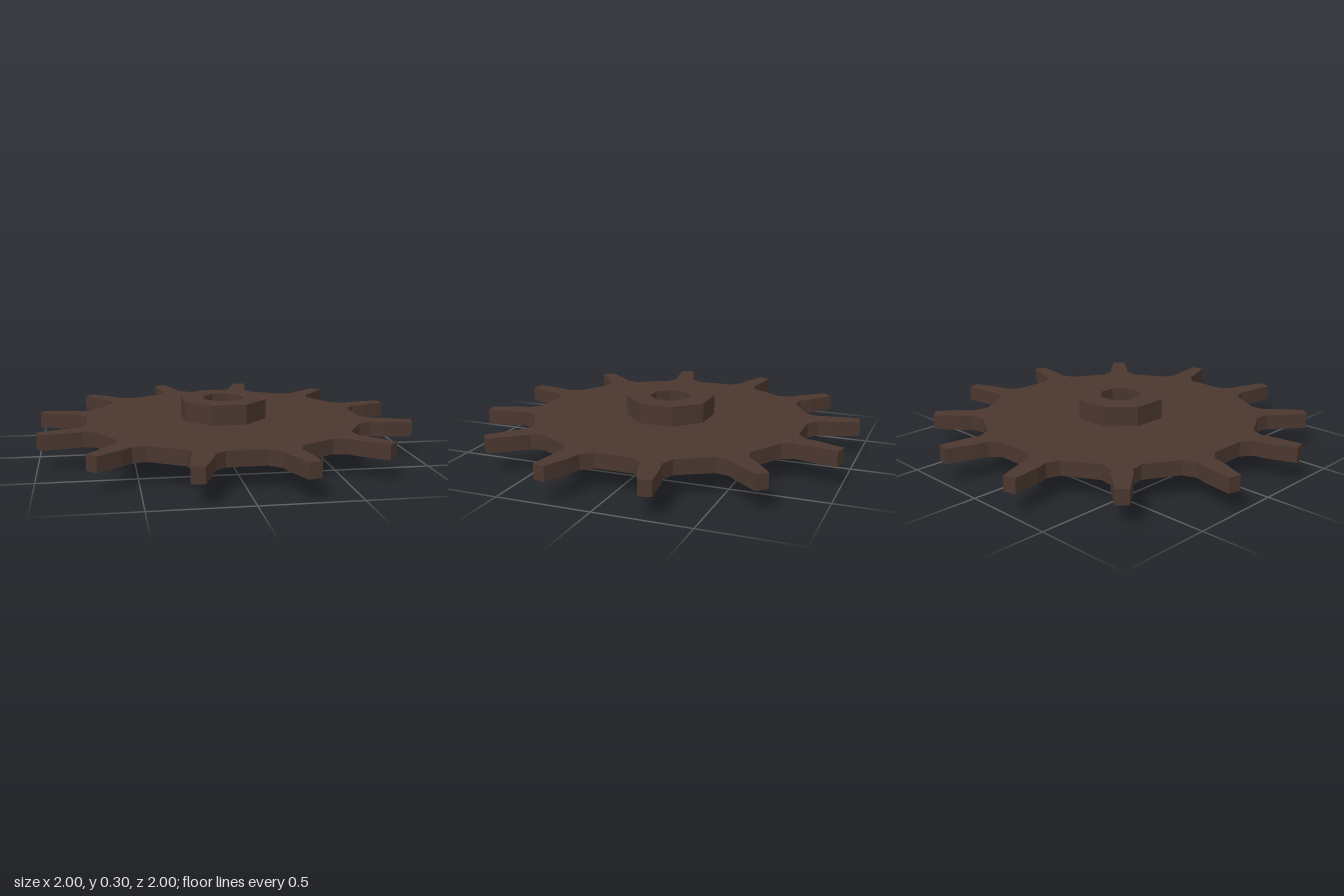
import * as THREE from 'three';

const TEETH = 12;
// Half of a tooth outline: [distance from centre, half width]
const TOOTH = [[0.745, 0.094], [0.806, 0.052], [0.875, 0.052], [1.026, 0.034]];

// Octagon with flat sides facing the axes
function octagon(radius) {
  return Array.from({ length: 8 }, (_, i) => {
    const a = (i + 0.5) * Math.PI / 4;
    return new THREE.Vector2(radius * Math.cos(a), radius * Math.sin(a));
  });
}

// Toothed outline, counter-clockwise
function sprocketOutline() {
  const profile = [
    ...TOOTH.map(([r, w]) => [r, -w]),
    ...TOOTH.slice().reverse(),
  ];
  const points = [];
  for (let i = 0; i < TEETH; i++) {
    const angle = (i + 0.5) * 2 * Math.PI / TEETH;
    for (const [r, w] of profile) {
      points.push(new THREE.Vector2(r, w).rotateAround(new THREE.Vector2(), angle));
    }
  }
  return points;
}

// Flat slab standing between two heights, with a hole through it
function slab(name, outline, hole, bottom, top, material) {
  const shape = new THREE.Shape(outline);
  shape.holes.push(new THREE.Path(hole));
  const geometry = new THREE.ExtrudeGeometry(shape, { depth: top - bottom, bevelEnabled: false });
  geometry.rotateX(-Math.PI / 2).translate(0, bottom, 0);
  const mesh = new THREE.Mesh(geometry, material);
  mesh.name = name;
  return mesh;
}

export function createModel() {
  const darkBrown = new THREE.MeshStandardMaterial({ color: 0x4a372f });
  darkBrown.name = 'darkBrown';

  const group = new THREE.Group();
  group.name = 'sprocketWheel';
  // Toothed disc around the hub
  group.add(slab('toothedDisc', sprocketOutline(), octagon(0.24), 0.11, 0.19, darkBrown));
  // Octagonal hub with axle hole
  group.add(slab('hub', octagon(0.24), octagon(0.113), 0, 0.297, darkBrown));
  return group;
}
